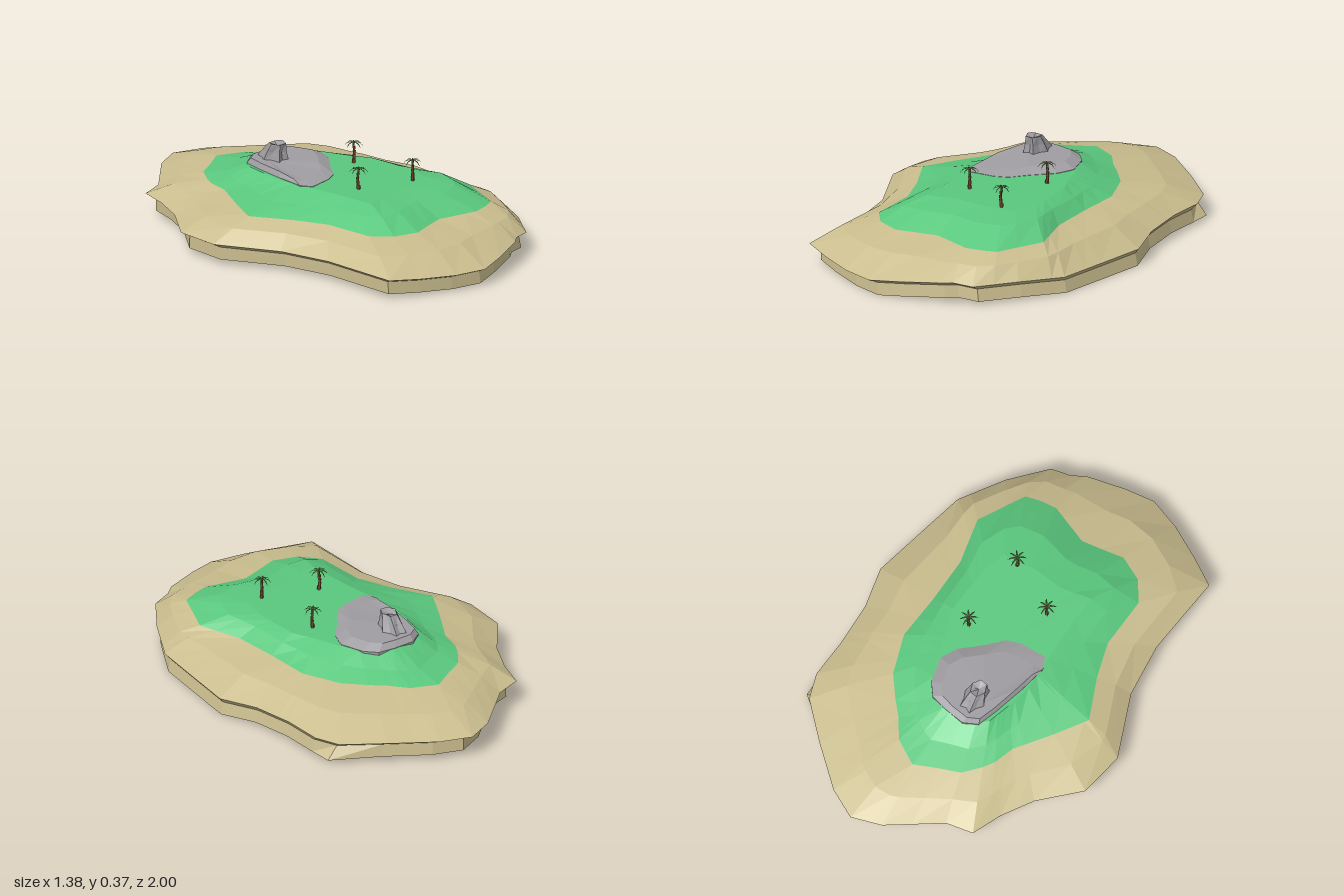
import * as THREE from 'three';

const mat = (color, extra = {}) => new THREE.MeshStandardMaterial({ color, flatShading: true, ...extra });
const { lerp } = THREE.MathUtils;

// Skin over closed rings of [x, y, z] points, listed from the lowest to the highest.
function loft(name, rings, material) {
  const pos = [];
  const n = rings[0].length;
  for (let r = 0; r + 1 < rings.length; r++) {
    const a = rings[r], b = rings[r + 1];
    for (let i = 0; i < n; i++) {
      const j = (i + 1) % n;
      pos.push(...a[i], ...b[i], ...a[j], ...a[j], ...b[i], ...b[j]);
    }
  }
  const g = new THREE.BufferGeometry();
  g.setAttribute('position', new THREE.Float32BufferAttribute(pos, 3));
  g.computeVertexNormals();
  const mesh = new THREE.Mesh(g, material);
  mesh.name = name;
  return mesh;
}

// Outlines in plan, clockwise seen from above: [x, z], the shore also with its rim height.
const SHORE = [[0.03, -1, 0.11], [0.17, -0.95, 0.11], [0.36, -0.82, 0.107], [0.53, -0.69, 0.1], [0.58, -0.58, 0.102],
  [0.59, -0.4, 0.106], [0.62, -0.2, 0.1], [0.685, -0.02, 0.086], [0.66, 0.22, 0.086], [0.635, 0.45, 0.086],
  [0.53, 0.65, 0.1], [0.41, 0.82, 0.1], [0.32, 0.85, 0.108], [0.27, 0.89, 0.108], [0.1, 0.96, 0.095],
  [-0.03, 1, 0.084], [-0.18, 0.97, 0.086], [-0.34, 0.91, 0.094], [-0.475, 0.85, 0.105], [-0.485, 0.48, 0.105],
  [-0.54, 0.24, 0.105], [-0.69, -0.03, 0.108], [-0.68, -0.24, 0.108], [-0.54, -0.42, 0.11], [-0.47, -0.57, 0.11],
  [-0.43, -0.71, 0.11], [-0.31, -0.75, 0.11], [-0.2, -0.85, 0.11], [-0.1, -0.94, 0.11]];
const GRASS = [[-0.04, -0.66], [0.08, -0.61], [0.15, -0.53], [0.29, -0.41], [0.38, -0.22], [0.39, 0], [0.41, 0.2],
  [0.48, 0.4], [0.39, 0.62], [0.27, 0.67], [0.06, 0.62], [-0.16, 0.69], [-0.31, 0.6], [-0.33, 0.33], [-0.4, 0.17],
  [-0.5, 0], [-0.42, -0.16], [-0.33, -0.32], [-0.31, -0.42], [-0.25, -0.54], [-0.12, -0.61]];
const PLATEAU = [[0, -0.4], [0.15, -0.3], [0.23, -0.1], [0.28, 0], [0.29, 0.2], [0.27, 0.33], [0.1, 0.37],
  [-0.02, 0.37], [-0.16, 0.42], [-0.17, 0.25], [-0.2, 0.05], [-0.22, -0.1], [-0.18, -0.34]];
const ROCK = [[-0.1, -0.39], [0, -0.39], [0.08, -0.38], [0.13, -0.33], [0.17, -0.22], [0.14, -0.14], [0.06, -0.05],
  [0, 0.03], [-0.06, 0.06], [-0.18, 0.08], [-0.21, 0.03], [-0.2, -0.1], [-0.18, -0.25], [-0.16, -0.35]];

// Shared spokes let every outline be sampled with the same number of points.
const angleOf = ([x, z]) => Math.atan2(z, x);
const angles = SHORE.map(angleOf);
angles.push(...GRASS.map(angleOf).filter((a) => angles.every((b) => Math.abs(a - b) > 0.045)));
angles.sort((a, b) => a - b);

// Where each spoke meets an outline, as [x, height, z].
function sample(outline) {
  return angles.map((a) => {
    const dx = Math.cos(a), dz = Math.sin(a);
    let far = 0, height = 0;
    outline.forEach(([px, pz, py = 0], i) => {
      const [qx, qz, qy = 0] = outline[(i + 1) % outline.length];
      const ex = qx - px, ez = qz - pz;
      const den = dx * ez - dz * ex;
      if (Math.abs(den) < 1e-9) return;
      const t = (px * ez - pz * ex) / den;
      const u = (px * dz - pz * dx) / den;
      if (t > far && u >= -1e-6 && u <= 1 + 1e-6) {
        far = t;
        height = lerp(py, qy, u);
      }
    });
    return [dx * far, height, dz * far];
  });
}

function island() {
  const g = new THREE.Group();
  g.name = 'island';
  const rim = sample(SHORE);
  const edge = sample(GRASS).map(([x, , z]) => [x, 0.2, z]);
  const top = sample(PLATEAU).map(([x, , z]) => [x, 0.275, z]);
  const between = (a, b, t, height) => a.map(([x, , z], i) => {
    const X = lerp(x, b[i][0], t), Z = lerp(z, b[i][2], t);
    return [X, height(X, Z), Z];
  });

  // The foot wall stands in under the overhanging rim, with a small spur at the back
  const floor = rim.map(([x, y, z]) => {
    const spur = Math.hypot(x - 0.53, z + 0.69) < 0.05 ? 0.04 : 0;
    return [x * 0.965 + 0.018 + spur, Math.max(0, y - 0.08), z * 0.955];
  });
  const ledge = rim.map(([x, y, z]) => [x * 0.955 + 0.012, y - 0.023, z * 0.95]);
  const bank = between(edge, rim, 0.55, () => 0.166);
  const shoulder = between(edge, top, 0.5, (x, z) => 0.24 + 0.025 * x + 0.03 * z);
  const flat = (y) => angles.map(() => [0, y, 0]);
  g.add(loft('sandBase', [flat(0.014), floor, ledge, rim, bank, edge], mat(0xcabd8e)));
  g.add(loft('grassTop', [edge, shoulder, top, flat(0.276)], mat(0x5ac87e)));
  return g;
}

function rocks() {
  const g = new THREE.Group();
  g.name = 'rocks';
  const stone = mat(0x9f9da1);
  const cx = -0.12, cz = -0.26;
  const ring = (s, y) => ROCK.map(([x, z]) => [cx + (x - cx) * s, y(z), cz + (z - cz) * s]);
  g.add(loft('rockSlab', [
    ring(1, () => 0.2), ring(1, () => 0.277),
    ring(0.81, (z) => 0.3 - Math.max(0, z + 0.06) * 0.11), ring(0, () => 0.3)], stone));

  // Fluted peak with a shallow hollow top, longer towards the back
  const peak = (rx, rz, y, z0, flute) => Array.from({ length: 12 }, (_, i) => {
    const a = (i / 12) * Math.PI * 2, k = i % 2 ? 1 - flute : 1;
    return [-0.073 + Math.cos(a) * rx * k, y - (Math.sin(a) < -0.6 ? 0.006 : 0), z0 + Math.sin(a) * rz * k];
  });
  g.add(loft('rockPeak', [
    peak(0.057, 0.088, 0.29, -0.28, 0.25), peak(0.046, 0.062, 0.335, -0.265, 0.28),
    peak(0.036, 0.042, 0.375, -0.247, 0.15), peak(0.026, 0.03, 0.372, -0.247, 0.1),
    peak(0, 0, 0.362, -0.247, 0)], stone));
  return g;
}

function palm(x, z, turn) {
  const g = new THREE.Group();
  g.name = 'palmTree';
  const bark = mat(0x8a5636), leaf = mat(0x5b9448, { side: THREE.DoubleSide });

  // Stacked, slightly leaning trunk sections, each flaring upwards
  for (let i = 0; i < 5; i++) {
    const section = new THREE.Mesh(new THREE.CylinderGeometry(0.0085 - i * 0.0007, 0.0078 - i * 0.001, 0.021, 6), bark);
    section.position.set(0.004 * Math.sin(i * 0.8), 0.008 + i * 0.019, 0);
    section.name = 'trunkSection';
    g.add(section);
  }
  const bud = new THREE.Mesh(new THREE.IcosahedronGeometry(0.006, 0), bark);
  bud.position.y = 0.096;
  bud.name = 'bud';
  g.add(bud);

  // Eight drooping fronds, each a folded strip
  const stations = [[0, 0, 0.0015], [0.014, 0.006, 0.004], [0.03, 0.001, 0.003], [0.042, -0.014, 0.0005]];
  const pos = [];
  for (let i = 0; i + 1 < stations.length; i++) {
    const [r, y, w] = stations[i], [R, Y, W] = stations[i + 1];
    for (const s of [-1, 1]) {
      const tri = [[r, y - w * 0.5, w * s], [R, Y - W * 0.5, W * s]];
      const [p, q] = s > 0 ? tri : [tri[1], tri[0]];
      const [a, b] = s > 0 ? [[r, y, 0], [R, Y, 0]] : [[R, Y, 0], [r, y, 0]];
      pos.push(...a, ...p, ...b, ...b, ...p, ...q);
    }
  }
  const frondGeo = new THREE.BufferGeometry();
  frondGeo.setAttribute('position', new THREE.Float32BufferAttribute(pos, 3));
  frondGeo.computeVertexNormals();
  for (let i = 0; i < 8; i++) {
    const frond = new THREE.Mesh(frondGeo, leaf);
    frond.position.y = 0.094;
    frond.rotation.y = (i * Math.PI) / 4 - turn;
    frond.name = 'frond';
    g.add(frond);
  }
  g.position.set(x, 0.274, z);
  g.rotation.y = turn;
  return g;
}

export function createModel() {
  const model = new THREE.Group();
  model.name = 'islandModel';
  model.add(island(), rocks());
  [[0.175, -0.02, 0], [-0.055, 0.24, 2], [0.192, 0.33, 4]].forEach((p) => model.add(palm(...p)));
  return model;
}
